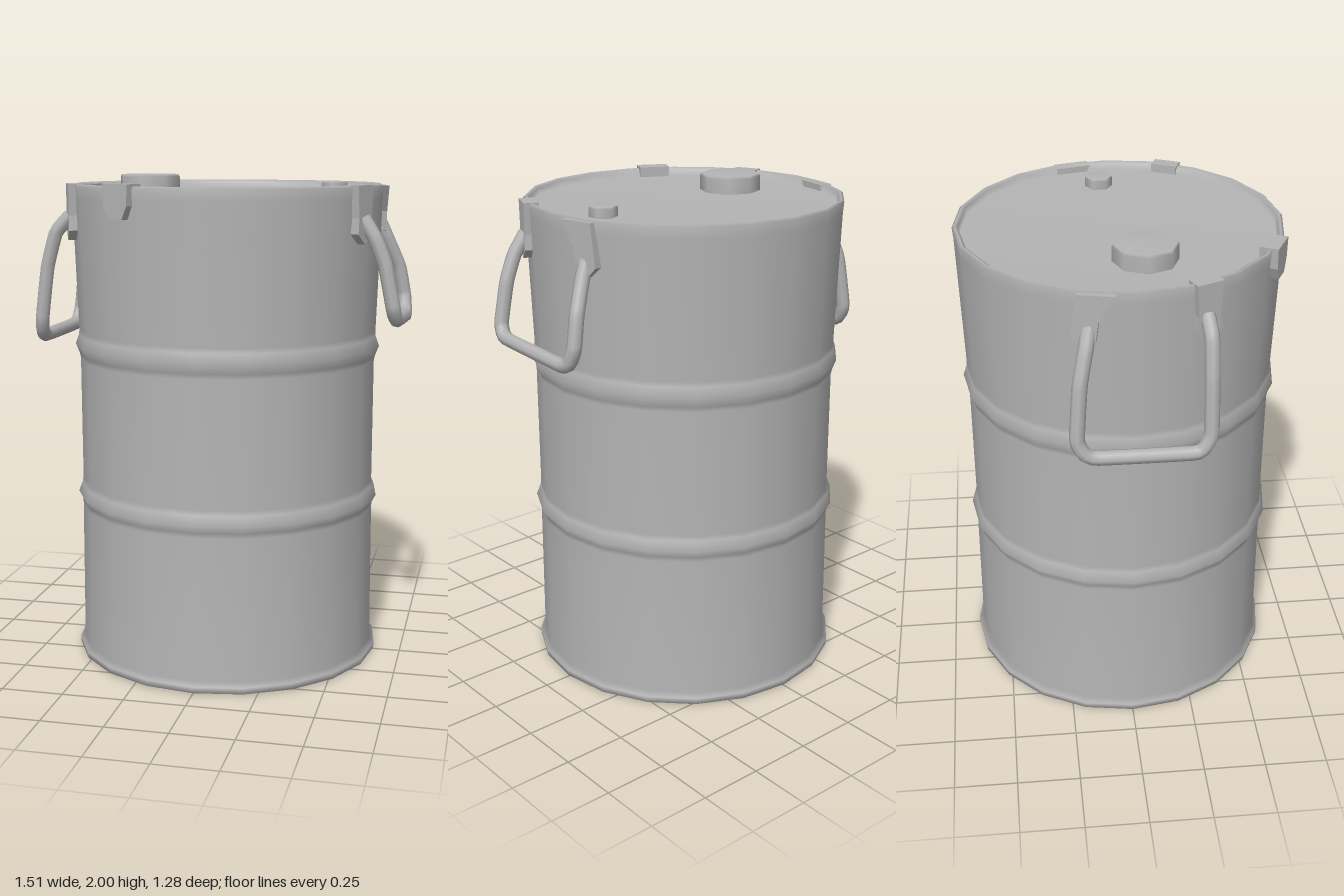
import * as THREE from 'three';

const steel = new THREE.MeshStandardMaterial({ color: 0xb4b4b4 });
steel.name = 'grey steel';

function add(parent, name, geometry) {
  const mesh = new THREE.Mesh(geometry, steel);
  mesh.name = name;
  parent.add(mesh);
  return mesh;
}

function lathe(points, sides) {
  return new THREE.LatheGeometry(points.map(([r, y]) => new THREE.Vector2(r, y)), sides);
}

// Flat plate standing against the wall, facing outwards at angle t
function wallPlate(parent, name, outline, t, inner, depth) {
  const shape = new THREE.Shape(outline.map(([x, y]) => new THREE.Vector2(x, y)));
  const plate = add(parent, name, new THREE.ExtrudeGeometry(shape, { depth, bevelEnabled: false }));
  plate.rotation.y = t;
  plate.position.set(inner * Math.sin(t), 0, inner * Math.cos(t));
}

// Swinging handle: bent rod with two pads hooked over the rim
function handle(parent, name, side, rod) {
  const group = new THREE.Group();
  group.name = name;
  parent.add(group);
  const path = new THREE.CatmullRomCurve3(
    rod.map(([x, y, z]) => new THREE.Vector3(side * x, y, z)), false, 'catmullrom', 0.2);
  add(group, 'handleRod', new THREE.TubeGeometry(path, 60, 0.029, 8));
  wallPlate(group, 'frontPad',
    [[-0.055, 1.965], [-0.045, 1.84], [-0.05, 1.78], [0, 1.74], [0.05, 1.78], [0.045, 1.84], [0.055, 1.965]],
    side * 1.15, 0.597, 0.06);
  const s = side; // the rear pad leans towards the back
  wallPlate(group, 'rearPad',
    [[-0.07 * s, 1.955], [-0.01 * s, 1.85], [0, 1.77], [0.05 * s, 1.75], [0.09 * s, 1.79], [0.07 * s, 1.955]],
    side * 1.79, 0.6, 0.055);
}

export function createModel() {
  const model = new THREE.Group();
  model.name = 'steelDrum';

  // Drum body with foot rim, two rolling ribs, top rim and sunken lid
  add(model, 'drumBody', lathe([
    [0, 0.025], [0.61, 0.025], [0.62, 0], [0.638, 0.004], [0.64, 0.03], [0.62, 0.045],
    [0.616, 0.63], [0.618, 0.65], [0.634, 0.68], [0.618, 0.72], [0.614, 0.74],
    [0.614, 1.25], [0.618, 1.27], [0.634, 1.31], [0.62, 1.35], [0.618, 1.37],
    [0.636, 1.91], [0.64, 1.955], [0.63, 1.964], [0.617, 1.955], [0.612, 1.93], [0, 1.93],
  ], 20));

  // Bungs on the lid
  const bigBung = add(model, 'largeBung', lathe([[0.125, 1.92], [0.125, 1.99], [0.12, 2], [0, 2]], 8));
  bigBung.position.set(-0.31, 0, 0.07);
  const smallBung = add(model, 'smallBung', lathe([[0.056, 1.92], [0.056, 1.965], [0.052, 1.972], [0, 1.972]], 6));
  smallBung.position.set(0.435, 0, -0.04);

  // Clip over the front rim
  wallPlate(model, 'rimClip',
    [[-0.065, 1.972], [-0.06, 1.89], [-0.035, 1.84], [0.035, 1.84], [0.06, 1.89], [0.065, 1.972]],
    -0.48, 0.585, 0.073);

  handle(model, 'leftHandle', 1, [
    [0.59, 1.84, 0.26], [0.64, 1.76, 0.27], [0.68, 1.66, 0.27], [0.713, 1.5, 0.27], [0.72, 1.46, 0.25],
    [0.725, 1.445, 0.21], [0.725, 1.425, -0.14], [0.72, 1.44, -0.19], [0.713, 1.5, -0.215],
    [0.69, 1.62, -0.205], [0.64, 1.74, -0.175], [0.6, 1.83, -0.16],
  ]);
  handle(model, 'rightHandle', -1, [
    [0.59, 1.84, 0.26], [0.65, 1.77, 0.27], [0.69, 1.63, 0.27], [0.718, 1.42, 0.27], [0.725, 1.37, 0.25],
    [0.726, 1.345, 0.21], [0.726, 1.345, -0.15], [0.725, 1.365, -0.195], [0.718, 1.42, -0.22],
    [0.69, 1.63, -0.205], [0.65, 1.75, -0.18], [0.6, 1.84, -0.16],
  ]);

  return model;
}
